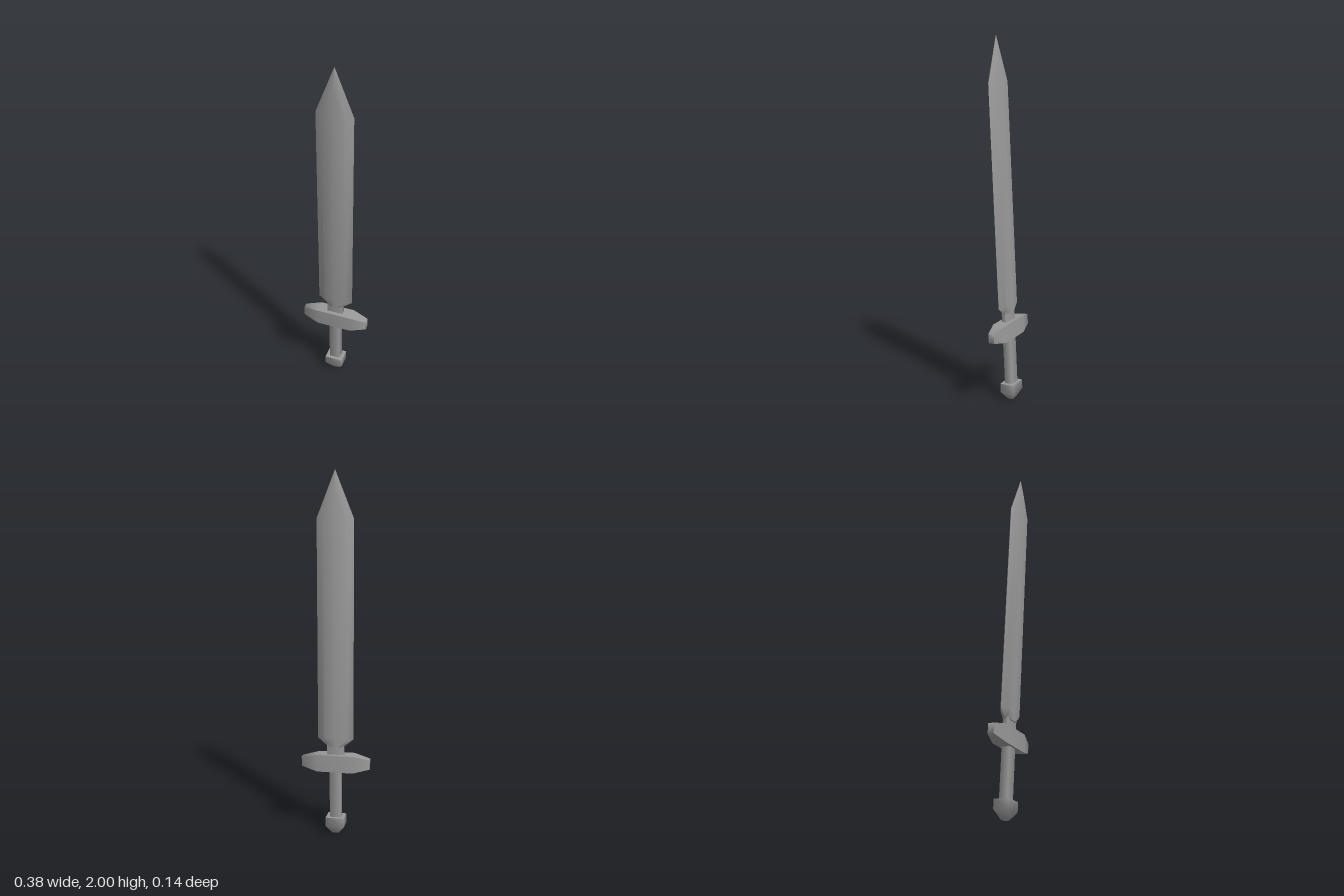
import * as THREE from 'three';
import { toCreasedNormals } from 'three/addons/utils/BufferGeometryUtils.js';

const material = new THREE.MeshStandardMaterial({ color: 0x999999 });

// Skin between rings of [x, y, z] points, bottom to top, each counter-clockwise from above; ends are capped
function loft(rings, crease) {
  const n = rings[0].length, last = (rings.length - 1) * n, index = [];
  for (let r = 0; r < last; r += n) {
    for (let j = 0; j < n; j++) {
      const k = (j + 1) % n;
      index.push(r + j, r + k, r + n + k, r + j, r + n + k, r + n + j);
    }
  }
  for (let k = 1; k < n - 1; k++) {
    index.push(0, k + 1, k, last, last + k, last + k + 1);
  }
  const g = new THREE.BufferGeometry();
  g.setAttribute('position', new THREE.Float32BufferAttribute(rings.flat(2), 3));
  g.setIndex(index);
  return toCreasedNormals(g, crease);
}

const rect = (y, w, d) => [[-w, y, d], [w, y, d], [w, y, -d], [-w, y, -d]];

// Blade section: sharp edges at +-w, flat faces from -f to f; edge, flat corner and centre heights may differ
const bladeRing = (w, f, t, yEdge, yFlat = yEdge, yMid = yFlat) => [
  [-w, yEdge, 0], [-f, yFlat, t], [0, yMid, t], [f, yFlat, t],
  [w, yEdge, 0], [f, yFlat, -t], [0, yMid, -t], [-f, yFlat, -t],
];

// Four-sided turned shape with softly shaded corners; profile points are [fraction of half-width, y]
function softBlock(w, d, profile) {
  const points = profile.map(([r, y]) => new THREE.Vector2(r * Math.SQRT2, y));
  return new THREE.LatheGeometry(points, 4, Math.PI / 4).scale(w, 1, d);
}

// Straight soft-cornered bar with crisp ends
const softBar = (w, d, y0, y1) =>
  softBlock(w, d, [[0, y0], [1, y0], [1, y0], [1, y1], [1, y1], [0, y1]]);

export function createModel() {
  const sword = new THREE.Group();
  sword.name = 'sword';
  const add = (name, geometry) => {
    const mesh = new THREE.Mesh(geometry, material);
    mesh.name = name;
    sword.add(mesh);
    return mesh;
  };

  // Blade with bevelled edges, a narrowed root and a faceted point
  add('blade', loft([
    bladeRing(0.048, 0.025, 0.023, 0.505),
    bladeRing(0.1, 0.06, 0.025, 0.55),
    bladeRing(0.1, 0.06, 0.024, 1.75, 1.76, 1.89),
    bladeRing(0.0005, 0.0003, 0.0003, 2.0),
  ], 0.9));

  // Neck between blade and guard
  add('neck', softBar(0.046, 0.015, 0.44, 0.52));

  // Crossguard, lofted upright and laid along x, its ends softly shaded
  const guard = add('guard', loft([
    rect(-0.191, 0.027, 0.017), rect(-0.1, 0.048, 0.038),
    rect(0.1, 0.048, 0.038), rect(0.191, 0.027, 0.017),
  ], 1.45));
  guard.rotation.z = -Math.PI / 2;
  guard.position.y = 0.412;

  // Grip
  add('grip', softBar(0.031, 0.023, 0.08, 0.39));

  // Pommel block narrowing to a small foot
  add('pommel', softBlock(0.052, 0.041,
    [[0, 0], [0.34, 0], [1, 0.046], [1, 0.097], [1, 0.097], [0, 0.097]]));

  // The whole sword leans slightly forward and to its left
  sword.rotation.set(0.043, 0.01, -0.0115);
  sword.position.set(-0.006, 0, -0.032);

  const model = new THREE.Group();
  model.add(sword);
  return model;
}
